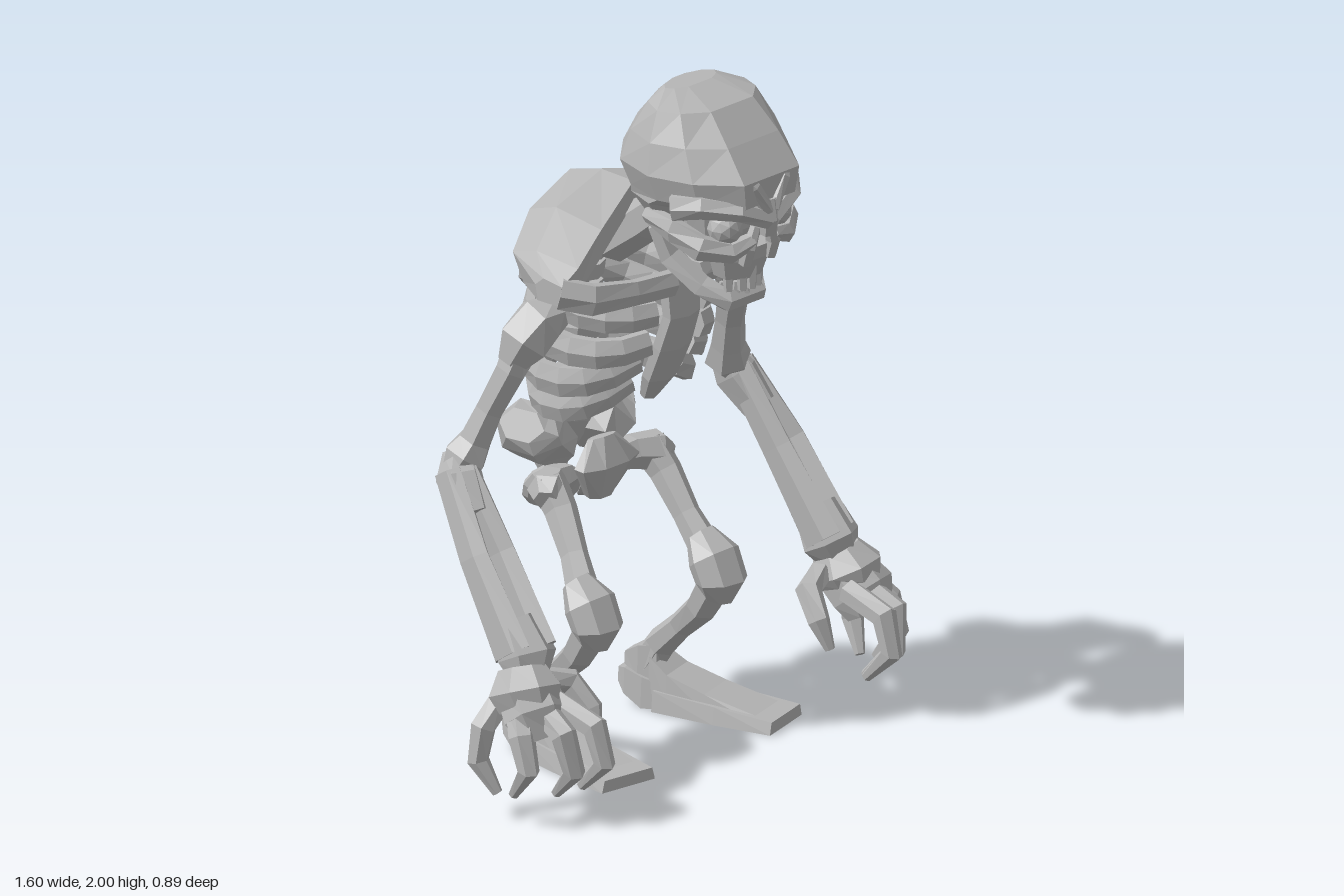
import * as THREE from 'three';

const bone = new THREE.MeshStandardMaterial({ color: 0xb6b6b6, flatShading: true });
bone.name = 'bone grey';
const V = (x, y, z) => new THREE.Vector3(x, y, z);

// Closed skin over equal-sized rings of points, always facing outward
function loft(rings) {
  const n = rings[0].length, pos = rings.flat(), idx = [];
  for (let r = 0; r < rings.length - 1; r++)
    for (let i = 0; i < n; i++) {
      const a = r * n + i, b = r * n + (i + 1) % n;
      idx.push(a, b, a + n, b, b + n, a + n);
    }
  const end = (rings.length - 1) * n;
  for (let i = 1; i < n - 1; i++) idx.push(0, i + 1, i, end, end + i, end + i + 1);
  const mid = pos.reduce((s, p) => s.add(p), V(0, 0, 0)).divideScalar(pos.length);
  const q = pos.map(p => p.clone().sub(mid));
  let volume = 0;
  for (let i = 0; i < idx.length; i += 3)
    volume += q[idx[i]].dot(q[idx[i + 1]].clone().cross(q[idx[i + 2]]));
  if (volume < 0) idx.reverse();
  const g = new THREE.BufferGeometry().setFromPoints(pos);
  g.setIndex(idx);
  g.computeVertexNormals();
  return g;
}

// Sweep along [x, y, z, radius along ref, other radius]
function sweep(pts, ref = V(1, 0, 0), sides = 6) {
  const p = pts.map(q => V(q[0], q[1], q[2]));
  return loft(p.map((c, i) => {
    const t = p[Math.min(i + 1, p.length - 1)].clone().sub(p[Math.max(i - 1, 0)]).normalize();
    const u = ref.clone().addScaledVector(t, -ref.dot(t)).normalize();
    const v = t.clone().cross(u);
    const a = pts[i][3], b = pts[i][4] ?? a;
    return Array.from({ length: sides }, (_, k) => {
      const w = (k + 0.5) / sides * Math.PI * 2;
      return c.clone().addScaledVector(u, a * Math.cos(w)).addScaledVector(v, b * Math.sin(w));
    });
  }));
}

const UP = V(0, 1, 0);
const flip = (pts, s) => pts.map(([x, ...rest]) => [s * x, ...rest]);

export function createModel() {
  const model = new THREE.Group();
  model.name = 'skeleton';
  const add = (name, geo, x = 0, y = 0, z = 0) => {
    const m = new THREE.Mesh(geo, bone);
    m.name = name;
    m.position.set(x, y, z);
    model.add(m);
  };
  const limb = (name, pts, s = 1, ref, sides) => add(name, sweep(flip(pts, s), ref, sides));

  // Cranium: rings of [y, half width, front z, back z]
  const half = [[0.48, 1], [0.86, 0.55], [1, 0], [0.78, -0.6], [0.25, -1]];
  const outline = [...half, ...half.map(([u, v]) => [-u, v]).reverse()];
  const skullRings = rings => loft(rings.map(([y, w, f, b]) =>
    outline.map(([u, v]) => V(u * w, y, (f + b) / 2 + v * (f - b) / 2))));
  add('cranium', skullRings([[2, 0.1, 0.17, 0.09], [1.965, 0.18, 0.29, 0.055], [1.88, 0.215, 0.37, -0.015],
    [1.79, 0.235, 0.44, -0.065], [1.715, 0.21, 0.435, -0.035], [1.69, 0.195, 0.33, -0.02], [1.625, 0.145, 0.28, 0.02]]));

  // Face: recessed core, nose bridge and upper jaw
  add('innerFace', skullRings([[1.71, 0.18, 0.36, 0.2], [1.62, 0.17, 0.36, 0.2], [1.56, 0.11, 0.34, 0.22]]));
  limb('noseBridge', [[0, 1.72, 0.42, 0.035, 0.03], [0, 1.66, 0.43, 0.03, 0.03], [0, 1.615, 0.425, 0.024, 0.02]]);
  limb('upperJaw', [[0, 1.58, 0.325, 0.105, 0.075], [0, 1.54, 0.32, 0.105, 0.075], [0, 1.48, 0.315, 0.085, 0.06]], 1, undefined, 8);

  // Lower jaw and teeth
  const jawHalf = [[0.155, 1.62, 0.15, 0.02, 0.04], [0.14, 1.53, 0.185, 0.025, 0.045],
    [0.1, 1.45, 0.265, 0.028, 0.042], [0.06, 1.41, 0.325, 0.03, 0.034]];
  limb('lowerJaw', [...jawHalf, ...flip(jawHalf, -1).reverse()], 1, V(0, 0.6, 0.8));
  for (let i = -2; i <= 2; i++) {
    const z = 0.365 - i * i * 0.008;
    add('upperTooth', new THREE.CylinderGeometry(0.018, 0.013, 0.07, 5), i * 0.031, 1.475, z);
    add('lowerTooth', new THREE.CylinderGeometry(0.009, 0.014, 0.04, 5), i * 0.03, 1.44, z - 0.025);
  }

  // Neck, spine and breastbone
  limb('neck', [[0, 1.45, -0.17, 0.07], [0, 1.54, -0.04, 0.065], [0, 1.65, 0.1, 0.06]]);
  limb('spine', [[0, 0.9, -0.29, 0.045], [0, 1.05, -0.26, 0.045], [0, 1.25, -0.31, 0.045], [0, 1.5, -0.24, 0.05]]);
  for (let i = 0; i < 8; i++)
    add('vertebra', new THREE.CylinderGeometry(0.07, 0.064, 0.045, 8),
      0, 0.97 + i * 0.062, -0.265 - 0.03 * Math.sin(i / 7 * Math.PI));
  limb('breastbone', [[0, 1.41, 0.09, 0.075, 0.035], [0, 1.3, 0.1, 0.07, 0.03], [0, 1.2, 0.065, 0.075, 0.03],
    [0, 1.1, 0.02, 0.07, 0.03], [0, 1.03, -0.02, 0.035, 0.02]]);

  // Shoulder mantle: sections of [x, [y, z]...] running across the back
  const mantle = [
    [0, [1.62, -0.32], [1.65, -0.2], [1.645, -0.08], [1.58, -0.08], [1.54, -0.28]],
    [0.22, [1.575, -0.27], [1.605, -0.17], [1.58, 0.0], [1.5, 0.0], [1.5, -0.25]],
    [0.355, [1.5, -0.21], [1.525, -0.12], [1.51, 0.035], [1.43, 0.03], [1.42, -0.17]],
    [0.415, [1.455, -0.07], [1.48, -0.04], [1.47, 0.03], [1.41, 0.02], [1.41, -0.06]]];
  const section = s => ([x, ...q]) => q.map(([y, z]) => V(s * x, y, z));
  add('shoulderMantle', loft([...mantle.slice(1).reverse().map(section(-1)), ...mantle.map(section(1))]));

  for (const s of [1, -1]) {
    // Head details
    add('eyeball', new THREE.IcosahedronGeometry(0.052, 1), s * 0.1, 1.645, 0.355);
    limb('brow', [[0.215, 1.71, 0.26, 0.04, 0.025], [0.175, 1.72, 0.335, 0.036, 0.035], [0.1, 1.705, 0.405, 0.03, 0.04],
      [0.005, 1.66, 0.43, 0.028, 0.03]], s, UP);
    limb('foreheadRidge', [[0.1, 1.82, 0.4, 0.012], [0.06, 1.77, 0.428, 0.02], [0.01, 1.69, 0.435, 0.02]], s, UP);
    limb('cheekbone', [[0.04, 1.6, 0.4, 0.022, 0.025], [0.11, 1.58, 0.385, 0.032], [0.18, 1.6, 0.335, 0.04, 0.03],
      [0.205, 1.64, 0.26, 0.04, 0.025], [0.165, 1.645, 0.13, 0.025]], s, UP);
    limb('noseSide', [[0.028, 1.64, 0.405, 0.016], [0.05, 1.58, 0.4, 0.022], [0.05, 1.53, 0.385, 0.02]], s);

    // Collarbone and shoulder blade
    limb('collarbone', [[0.4, 1.445, 0.01, 0.05, 0.035], [0.34, 1.425, 0.075, 0.05, 0.03],
      [0.2, 1.415, 0.105, 0.04, 0.025], [0.05, 1.405, 0.11, 0.04, 0.03]], s, UP);
    limb('shoulderBlade', [[0.09, 1.5, -0.25, 0.12, 0.03], [0.09, 1.43, -0.325, 0.11, 0.025],
      [0.09, 1.35, -0.34, 0.1, 0.022], [0.07, 1.29, -0.335, 0.06, 0.02]], s);

    // Ribs: half width, then heights at the back, side and front, then front and back z
    [[0.225, 1.43, 1.33, 1.32, 0.09, -0.33], [0.25, 1.34, 1.22, 1.23, 0.07, -0.345],
      [0.265, 1.24, 1.12, 1.17, 0.03, -0.345], [0.24, 1.13, 1.03, 1.1, -0.01, -0.32]].forEach(([w, yb, ys, yf, front, back]) => {
      const path = [];
      for (let k = 0; k <= 8; k++) {
        const t = k / 8, a = t * Math.PI * 0.93;
        path.push([Math.sin(a) ** 0.8 * (w - 0.025) + 0.03,
          yb * (1 - t) * (1 - 2 * t) + ys * 4 * t * (1 - t) + yf * t * (2 * t - 1),
          (front + back) / 2 - Math.cos(a) * (front - back) / 2, 0.038 + 0.012 * Math.sin(a), 0.026]);
      }
      limb('rib', path, s, UP);
    });

    // Arm
    limb('shoulderJoint', [[0.33, 1.36, -0.06, 0.05], [0.38, 1.34, -0.08, 0.075], [0.43, 1.28, -0.1, 0.08],
      [0.46, 1.22, -0.12, 0.045]], s);
    limb('upperArm', [[0.42, 1.29, -0.1, 0.06], [0.46, 1.2, -0.12, 0.048], [0.495, 1.08, -0.17, 0.043],
      [0.52, 0.99, -0.2, 0.05], [0.54, 0.94, -0.22, 0.067], [0.57, 0.9, -0.23, 0.045]], s);
    const out = s > 0 ? 0.015 : 0;
    for (const [dx, dz] of [[-0.04, 0.012], [0.042, -0.012]])
      limb('forearmBone', [[0.58 + dx * 0.5, 0.91, -0.215 + dz, 0.034, 0.05], [0.6 + out + dx, 0.7, -0.08 + dz, 0.034, 0.058],
        [0.617 + out + dx, 0.46, 0.08 + dz, 0.04, 0.075]], s);
    limb('elbow', [[0.545, 0.95, -0.24, 0.045], [0.57, 0.89, -0.215, 0.066, 0.07], [0.59, 0.8, -0.145, 0.052, 0.055]], s);
    limb('wrist', [[0.615 + out, 0.54, 0.03, 0.07, 0.065], [0.618 + out, 0.45, 0.085, 0.085, 0.085],
      [0.635 + out, 0.4, 0.1, 0.06]], s);

    // Hand
    limb('cuff', [[0.645, 0.42, 0.09, 0.07, 0.075], [0.66, 0.365, 0.115, 0.11, 0.11], [0.66, 0.325, 0.13, 0.09, 0.095]], s, undefined, 8);
    limb('palm', [[0.65, 0.37, 0.11, 0.09, 0.08], [0.67, 0.31, 0.17, 0.105, 0.08], [0.67, 0.25, 0.2, 0.08, 0.05]], s);
    const fingers = [
      [[0.71, 0.34, 0.07], [0.76, 0.27, 0.05], [0.77, 0.17, 0.04], [0.745, 0.08, 0.09]],
      [[0.71, 0.33, 0.14], [0.755, 0.27, 0.19], [0.76, 0.18, 0.22], [0.745, 0.09, 0.15]],
      [[0.66, 0.33, 0.18], [0.68, 0.28, 0.28], [0.66, 0.17, 0.3], [0.635, 0.08, 0.21]],
      [[0.6, 0.33, 0.18], [0.595, 0.29, 0.32], [0.59, 0.19, 0.35], [0.585, 0.1, 0.26]],
      [[0.57, 0.37, 0.1], [0.49, 0.35, 0.13], [0.467, 0.28, 0.19], [0.48, 0.2, 0.22]]];
    fingers.forEach((f, i) => limb(i < 4 ? 'finger' : 'thumb',
      f.map((p, k) => [...p, [0.038, 0.038, 0.032, 0.015][k]]), s));

    // Pelvis halves, angled outward
    limb('hipBlade', [[0.21, 0.92, -0.31, 0.05, 0.07], [0.17, 0.9, -0.325, 0.085, 0.11], [0.12, 0.86, -0.32, 0.085, 0.11],
      [0.06, 0.81, -0.29, 0.06, 0.07]], s, V(0.3, 1, 0));
    const loop = new THREE.Mesh(new THREE.TorusGeometry(0.062, 0.02, 6, 12), bone);
    loop.name = 'sitBone';
    loop.position.set(s * 0.085, 0.71, -0.31);
    loop.rotation.set(0.5, s * 0.4, 0);
    loop.scale.set(1.1, 1, 1);
    model.add(loop);
  }

  // Central pelvis
  limb('sacrum', [[0, 0.96, -0.29, 0.075, 0.06], [0, 0.85, -0.35, 0.085, 0.07], [0, 0.74, -0.39, 0.055, 0.04],
    [0, 0.65, -0.36, 0.02, 0.02]]);
  limb('pubicBone', [[0, 0.86, -0.2, 0.05, 0.03], [0, 0.79, -0.18, 0.125, 0.045], [0, 0.69, -0.21, 0.055, 0.03]], 1, undefined, 8);

  // Legs: hip, knee and ankle differ a little from side to side
  for (const { s, hip, knee, ankle, yaw, foot } of [
    { s: 1, hip: 0.22, knee: 0.215, ankle: 0.245, yaw: 0.26, foot: 0.302 },
    { s: -1, hip: 0.19, knee: 0.295, ankle: 0.25, yaw: 0.14, foot: 0.278 }]) {
    const mid = (hip + knee) / 2;
    limb('hipJoint', [[0.1, 0.76, -0.24, 0.04], [0.16, 0.76, -0.235, 0.05], [hip + 0.02, 0.75, -0.21, 0.06],
      [hip + 0.05, 0.735, -0.19, 0.035]], s, UP);
    limb('thigh', [[hip, 0.77, -0.23, 0.055], [hip + 0.01, 0.7, -0.17, 0.048], [mid, 0.6, -0.08, 0.04],
      [knee, 0.5, 0.01, 0.05]], s);
    limb('knee', [[knee, 0.555, -0.025, 0.045], [knee, 0.5, 0.025, 0.082, 0.07], [knee, 0.435, 0.055, 0.08, 0.07],
      [knee, 0.385, 0.04, 0.045]], s, undefined, 7);
    limb('shin', [[knee, 0.43, 0.035, 0.06, 0.05], [knee * 0.8 + ankle * 0.2, 0.34, -0.02, 0.058, 0.045],
      [(knee + ankle) / 2, 0.26, -0.11, 0.038], [ankle, 0.18, -0.2, 0.05, 0.045], [ankle, 0.12, -0.24, 0.06, 0.05]], s);
    // Foot: flat sole, sloping instep, ankle knob and heel
    const footGroup = new THREE.Group();
    footGroup.name = 'foot';
    footGroup.position.set(s * foot, 0, 0);
    footGroup.rotation.y = s * yaw;
    const rect = (w, y0, y1, z) => [V(-w, y0, z), V(w, y0, z), V(w * 0.9, y1, z), V(-w * 0.9, y1, z)];
    const parts = {
      sole: loft([rect(0.095, 0, 0.035, 0.18), rect(0.095, 0, 0.05, 0), rect(0.08, 0, 0.06, -0.2)]),
      instep: loft([rect(0.075, 0.02, 0.04, 0.12), rect(0.075, 0.03, 0.075, -0.04), rect(0.07, 0.03, 0.11, -0.16),
        rect(0.06, 0.05, 0.15, -0.22)]),
      ankleKnob: loft([rect(0.05, 0.09, 0.185, -0.2), rect(0.05, 0.08, 0.175, -0.26), rect(0.03, 0.11, 0.145, -0.31)]),
      heel: loft([rect(0.06, 0.005, 0.07, -0.16), rect(0.068, 0, 0.09, -0.24), rect(0.055, 0.03, 0.105, -0.3),
        rect(0.04, 0.06, 0.1, -0.325)])
    };
    for (const [name, geo] of Object.entries(parts)) {
      const m = new THREE.Mesh(geo, bone);
      m.name = name;
      footGroup.add(m);
    }
    model.add(footGroup);
  }
  return model;
}
